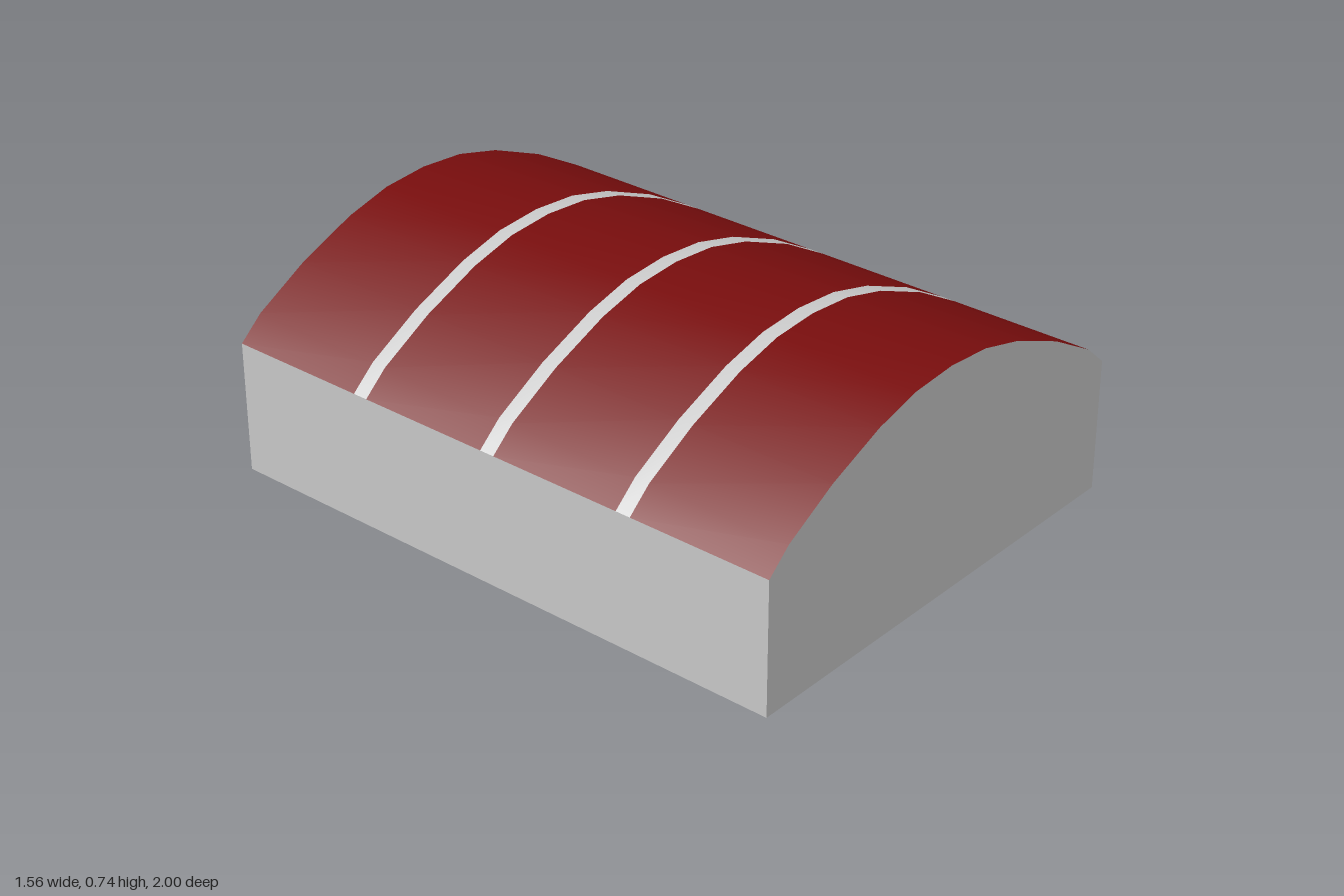
import * as THREE from 'three';

export function createModel() {
  const model = new THREE.Group();
  model.name = 'archedHall';

  const paint = (name, color) =>
    new THREE.MeshStandardMaterial({ name, color, side: THREE.DoubleSide });
  const wallGrey = paint('wallGrey', 0xcacaca);
  const roofRed = paint('roofRed', 0x780d0d);
  const doorGrey = paint('doorGrey', 0x777783);

  const W = 0.78, L = 1, EAVE = 0.43;
  const DOOR_W = 0.245, DOOR_H = 0.43, RECESS = 0.025;

  // Arch section, from the left eave of the section to the right
  const half = [[0.70, 0.50], [0.52, 0.60], [0.32, 0.682], [0.16, 0.723]];
  const arch = [
    [-W, EAVE], ...half.map(([x, y]) => [-x, y]),
    [0, 0.735],
    ...half.slice().reverse(), [W, EAVE],
  ];

  const add = (name, geometry, material) => {
    const mesh = new THREE.Mesh(geometry, material);
    mesh.name = name;
    model.add(mesh);
    return mesh;
  };

  // Sheet made by sweeping an open section along z
  function sheet(section, z0, z1, smooth = false) {
    const pos = [], index = [];
    section.forEach(([x, y], i) => {
      pos.push(x, y, z0, x, y, z1);
      if (i < section.length - 1) {
        const a = 2 * i;
        index.push(a, a + 1, a + 3, a, a + 3, a + 2);
      }
    });
    let g = new THREE.BufferGeometry();
    g.setAttribute('position', new THREE.Float32BufferAttribute(pos, 3));
    g.setIndex(index);
    if (!smooth) g = g.toNonIndexed();
    g.computeVertexNormals();
    return g;
  }

  // Roof panels with flush ribs between them
  const ribs = [-0.5, 0, 0.5], ribHalf = 0.025;
  let start = -L;
  [...ribs, null].forEach((z, i) => {
    add('roofPanel' + (i + 1), sheet(arch, start, z === null ? L : z - ribHalf, true), roofRed);
    if (z === null) return;
    add('roofRib' + (i + 1), sheet(arch, z - ribHalf, z + ribHalf, true), wallGrey);
    start = z + ribHalf;
  });

  // Side walls
  add('rightWall', sheet([[-W, 0], [-W, EAVE]], -L, L), wallGrey);
  add('leftWall', sheet([[W, EAVE], [W, 0]], -L, L), wallGrey);

  // End walls, the back one notched for the doorway
  const doorway = [[DOOR_W, 0], [DOOR_W, DOOR_H], [-DOOR_W, DOOR_H], [-DOOR_W, 0]];
  const gable = (notch) => new THREE.ShapeGeometry(new THREE.Shape(
    [[W, 0], ...arch.slice().reverse(), [-W, 0], ...notch.slice().reverse()]
      .map(([x, y]) => new THREE.Vector2(x, y))));
  add('frontWall', gable([]), wallGrey).position.z = L;
  const back = add('backWall', gable(doorway), wallGrey);
  back.position.z = -L;
  back.rotation.y = Math.PI;

  // Recessed door and the reveal around it
  add('doorReveal', sheet(doorway, -L, -L + RECESS), wallGrey);
  const door = add('door', new THREE.PlaneGeometry(2 * DOOR_W, DOOR_H), doorGrey);
  door.position.set(0, DOOR_H / 2, -L + RECESS);
  door.rotation.y = Math.PI;

  return model;
}
